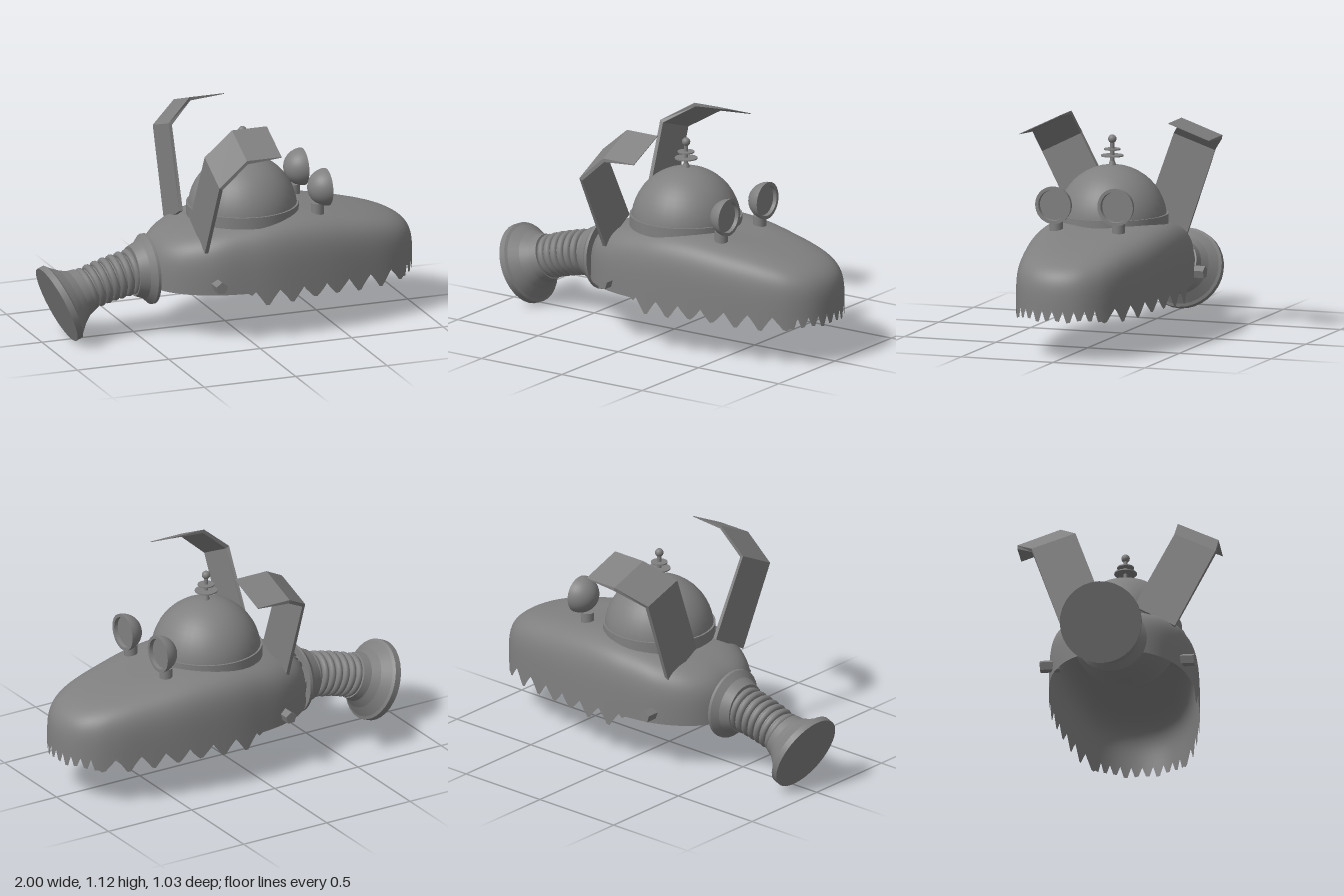
import * as THREE from 'three';

const mat = new THREE.MeshStandardMaterial({ color: 0x808080, side: THREE.DoubleSide });
const flat = new THREE.MeshStandardMaterial({ color: 0x808080, side: THREE.DoubleSide, flatShading: true });
const V2 = (p) => new THREE.Vector2(p[0], p[1]);
const V3 = (x, y, z) => new THREE.Vector3(x, y, z);

function add(parent, name, geo, x = 0, y = 0, z = 0, m = mat) {
  const mesh = new THREE.Mesh(geo, m);
  mesh.name = name;
  mesh.position.set(x, y, z);
  parent.add(mesh);
  return mesh;
}

// Lathe of straight facets with hard edges, turned so its axis follows dir
function turned(parent, name, pts, pos, dir, seg = 32) {
  const g = new THREE.Group();
  g.name = name;
  for (let i = 0; i < pts.length - 1; i++) {
    add(g, name + 'Band', new THREE.LatheGeometry([V2(pts[i]), V2(pts[i + 1])], seg));
  }
  g.position.copy(pos);
  g.quaternion.setFromUnitVectors(V3(0, 1, 0), dir.clone().normalize());
  parent.add(g);
}

// Open head shell: plan outline rounded over to the crown, with a toothed rim
function shellGeometry() {
  const half = [[-0.43, 0], [-0.42, 0.12], [-0.35, 0.23], [-0.2, 0.325], [0, 0.368], [0.15, 0.38],
    [0.4, 0.362], [0.6, 0.325], [0.8, 0.27], [0.9, 0.215], [0.97, 0.13], [0.998, 0]];
  const loop = half.map(([x, w]) => V3(x, 0, w))
    .concat(half.slice(1, -1).reverse().map(([x, w]) => V3(x, 0, -w)));
  const N = 192, R = 22, xc = 0.2, low = 0.22, start = 0.023;
  const outline = new THREE.CatmullRomCurve3(loop, true).getSpacedPoints(N).slice(0, N);
  const crown = (x) => 0.53 + 0.085 * Math.exp(-(((x - 0.2) / 0.5) ** 2));
  // Wide teeth along the sides, narrow blunt ones round the nose
  const rim = (i, x) => {
    if (x < 0) return 0.258;
    const k = Math.min(i, N - i), period = x > 0.88 ? 3 : 7;
    const tooth = 1 - Math.abs((2 * (k % period)) / period - 1);
    return 0.265 - (0.078 + 0.01 * Math.sin(k * 0.7)) * tooth;
  };
  const pos = [], idx = [];
  for (let j = 0; j <= R; j++) {
    const th = start + (Math.PI / 2 - start) * Math.max(0, (j - 1) / (R - 1)) ** 1.5;
    const f = Math.sin(th) ** 0.4;
    const s = j === 0 ? 1 : Math.max(0.001, Math.max(0, Math.cos(th)) ** 0.4);
    outline.forEach((p, i) => {
      const x = xc + (p.x - xc) * s;
      pos.push(x, j === 0 ? rim(i, p.x) : low + (crown(x) - low) * f, p.z * s);
      if (j < R) {
        const a = j * N + i, b = j * N + (i + 1) % N;
        idx.push(a, b, a + N, b, b + N, a + N);
      }
    });
  }
  const g = new THREE.BufferGeometry();
  g.setAttribute('position', new THREE.Float32BufferAttribute(pos, 3));
  g.setIndex(idx);
  g.computeVertexNormals();
  return g;
}

// Bent plate ear: stations of [x, outer z, outer y, inner z, inner y]
function earGeometry(stations) {
  const under = [[0.02, 0], [0.018, -0.01], [0.005, -0.018], [0, -0.004]];
  const rings = stations.map(([x, zo, yo, zi, yi], k) => {
    const [dx, dy] = under[k];
    return [V3(x, yo, zo), V3(x, yi, zi), V3(x + dx, yi + dy, zi), V3(x + dx, yo + dy, zo)];
  });
  const pos = [], flip = stations[0][1] < 0;
  const quad = (a, b, c, d) => {
    const q = flip ? [a, c, b, a, d, c] : [a, b, c, a, c, d];
    q.forEach((v) => pos.push(v.x, v.y, v.z));
  };
  for (let k = 0; k < 3; k++) {
    for (let e = 0; e < 4; e++) {
      const n = (e + 1) % 4;
      quad(rings[k][e], rings[k + 1][e], rings[k + 1][n], rings[k][n]);
    }
  }
  quad(...rings[0]);
  quad(...[...rings[3]].reverse());
  const g = new THREE.BufferGeometry();
  g.setAttribute('position', new THREE.Float32BufferAttribute(pos, 3));
  g.computeVertexNormals();
  return g;
}

export function createModel() {
  const model = new THREE.Group();
  model.name = 'robotHead';
  add(model, 'headShell', shellGeometry(), 0, 0, 0.007);

  // Dome ball with its seating ring
  const dx = 0.087, dz = 0.022;
  add(model, 'dome', new THREE.SphereGeometry(0.28, 36, 24), dx, 0.605, dz);
  turned(model, 'domeRing', [[0.288, 0], [0.288, 0.06], [0.27, 0.06]], V3(dx, 0.578, dz), V3(0, 1, 0), 40);

  // Antenna
  const antenna = new THREE.Group();
  antenna.name = 'antenna';
  antenna.position.set(dx, 0, dz);
  add(antenna, 'antennaBase', new THREE.CylinderGeometry(0.013, 0.022, 0.03, 16), 0, 0.89, 0);
  add(antenna, 'antennaRod', new THREE.CylinderGeometry(0.011, 0.011, 0.14, 12), 0, 0.95, 0);
  for (const [y, r] of [[0.932, 0.058], [0.965, 0.043]]) {
    add(antenna, 'antennaDisc', new THREE.CylinderGeometry(r, r, 0.006, 24), 0, y, 0);
  }
  add(antenna, 'antennaBall', new THREE.SphereGeometry(0.022, 16, 12), 0, 1.018, 0);
  model.add(antenna);

  // Eyes: rounded cups facing forward with recessed lenses, on short stems
  for (const [side, y, z] of [['right', 0.723, 0.197], ['left', 0.731, -0.142]]) {
    const eye = new THREE.Group();
    eye.name = side + 'Eye';
    eye.position.set(0.48, y, z);
    const cup = [];
    for (let i = 0; i <= 10; i++) {
      const a = (i / 10) * Math.PI / 2;
      cup.push(V2([0.097 * Math.sin(a), -0.1 * Math.cos(a)]));
    }
    add(eye, 'eyeCup', new THREE.LatheGeometry(cup, 32)).rotation.z = -Math.PI / 2;
    turned(eye, 'eyeLens', [[0.097, 0], [0.08, 0], [0.078, -0.02], [0, -0.02]], V3(0, 0, 0), V3(1, 0, 0));
    add(eye, 'eyeStem', new THREE.CylinderGeometry(0.034, 0.034, 0.07, 20), -0.05, 0.61 - y, 0);
    model.add(eye);
  }

  // Ears
  add(model, 'rightEar', earGeometry([[-0.23, 0.31, 0.48, 0.1, 0.6], [-0.23, 0.518, 0.89, 0.308, 0.995],
    [-0.08, 0.518, 1.02, 0.308, 1.122], [0.11, 0.518, 1.02, 0.308, 1.122]]), 0, 0, 0, flat);
  add(model, 'leftEar', earGeometry([[-0.23, -0.265, 0.48, -0.05, 0.6], [-0.23, -0.425, 0.95, -0.2, 1.025],
    [-0.08, -0.515, 1.043, -0.293, 1.12], [0.11, -0.515, 1.043, -0.293, 1.12]]), 0, 0, 0, flat);

  // Five-sided side bolts
  for (const s of [1, -1]) {
    const bolt = add(model, 'sideBolt', new THREE.CylinderGeometry(0.033, 0.033, 0.1, 5),
      -0.17, 0.312, 0.008 + s * 0.345, flat);
    bolt.rotation.x = s * Math.PI / 2;
    bolt.rotation.y = s > 0 ? Math.PI : 0;
  }

  // Neck collar, flaring towards the head
  turned(model, 'neckCollar', [[0.1, 0], [0.128, 0], [0.15, 0.05], [0.182, 0.08], [0.182, 0.095], [0.14, 0.095]],
    V3(-0.513, 0.328, 0.005), V3(0.999, 0.041, 0));

  // Ribbed hose bending down to the bell
  const path = new THREE.QuadraticBezierCurve3(V3(-0.44, 0.335, 0.005), V3(-0.63, 0.315, 0.005), V3(-0.8, 0.247, 0.005));
  add(model, 'hose', new THREE.TubeGeometry(path, 24, 0.096, 28));
  for (let i = 0; i < 7; i++) {
    const t = 0.2 + i * 0.112;
    const rib = add(model, 'hoseRib', new THREE.TorusGeometry(0.102 - 0.001 * i, 0.018, 10, 32));
    rib.position.copy(path.getPoint(t));
    rib.quaternion.setFromUnitVectors(V3(0, 0, 1), path.getTangent(t));
  }

  // End bell with a thick rim and closed flat end
  turned(model, 'endBell', [[0, 0], [0.209, 0], [0.209, 0.033], [0.195, 0.042], [0.155, 0.085], [0.128, 0.125],
    [0.118, 0.165], [0.09, 0.165]], V3(-0.921, 0.195, 0.005), V3(0.92, 0.385, 0));
  return model;
}
